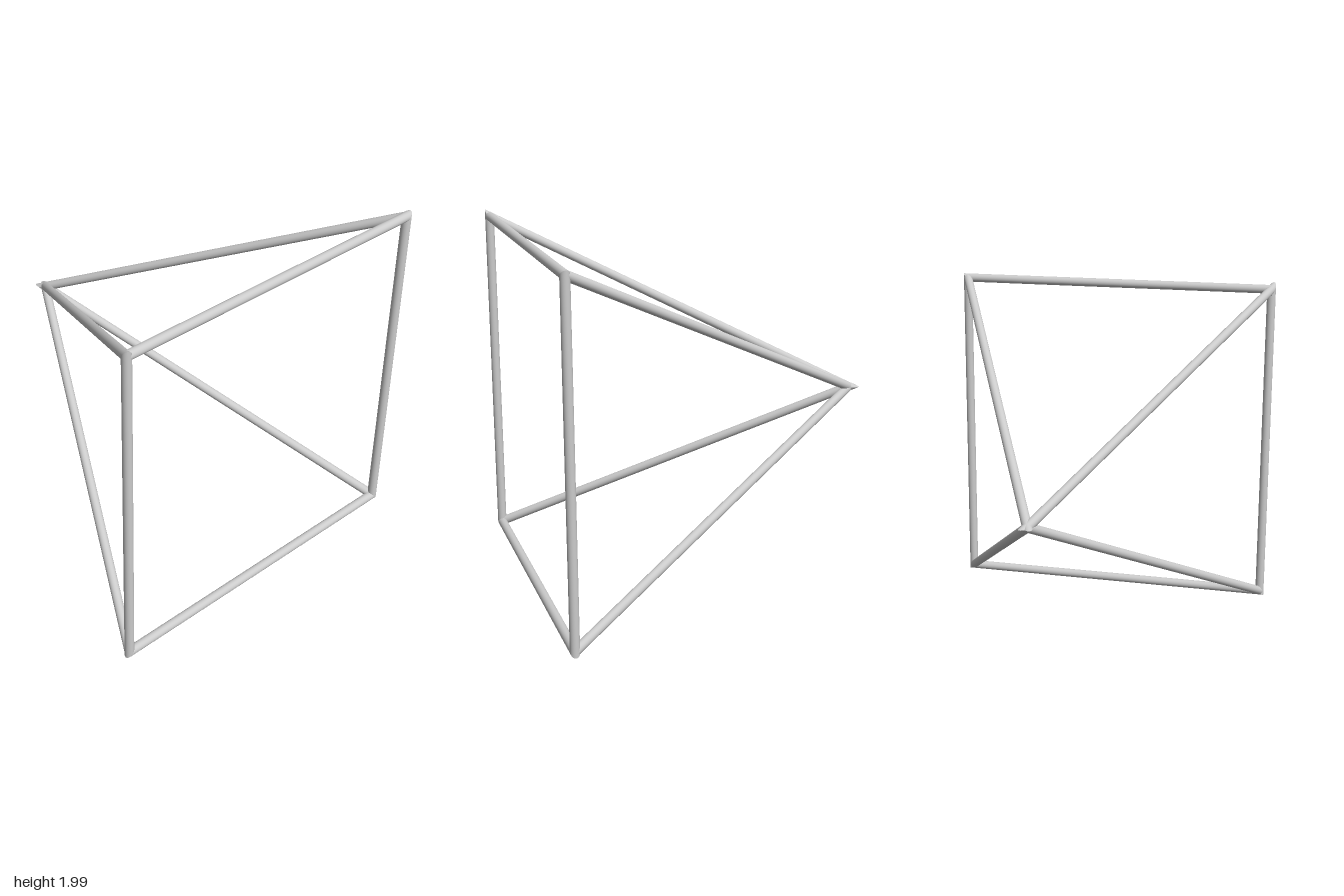
import * as THREE from 'three';

const R = 0.026, SIDES = 24;
const V = (x, y, z) => new THREE.Vector3(x, y, z);
const dir = (a, b) => b.clone().sub(a).normalize();

// Round bar from a to b; an end with a neighbouring point is mitred, otherwise cut square and capped
function barGeometry(a, b, before, after) {
  const d = dir(a, b);
  const u = V(0, 0, 1).cross(d);
  u.normalize();
  const w = d.clone().cross(u);
  const pos = [], nor = [], idx = [];
  const ends = [
    { p: a, n: before ? dir(before, a).add(d) : d, cap: !before, out: -1 },
    { p: b, n: after ? dir(b, after).add(d) : d, cap: !after, out: 1 },
  ];
  const rings = ends.map(({ p, n }) => {
    const ring = [];
    for (let i = 0; i <= SIDES; i++) {
      const t = (i / SIDES) * Math.PI * 2;
      const radial = u.clone().multiplyScalar(Math.cos(t)).addScaledVector(w, Math.sin(t));
      const along = (-R * radial.dot(n)) / d.dot(n);
      const q = p.clone().addScaledVector(radial, R).addScaledVector(d, along);
      ring.push(q);
      pos.push(...q.toArray());
      nor.push(...radial.toArray());
    }
    return ring;
  });
  for (let i = 0; i < SIDES; i++) {
    const j = i + SIDES + 1;
    idx.push(i, i + 1, j, i + 1, j + 1, j);
  }
  // flat end caps
  ends.forEach(({ p, cap, out }, e) => {
    if (!cap) return;
    const c = pos.length / 3;
    [p, ...rings[e]].forEach((q) => {
      pos.push(...q.toArray());
      nor.push(...d.clone().multiplyScalar(out).toArray());
    });
    for (let i = 1; i <= SIDES; i++) {
      if (out > 0) idx.push(c, c + i, c + i + 1);
      else idx.push(c, c + i + 1, c + i);
    }
  });
  const g = new THREE.BufferGeometry();
  g.setAttribute('position', new THREE.Float32BufferAttribute(pos, 3));
  g.setAttribute('normal', new THREE.Float32BufferAttribute(nor, 3));
  g.setIndex(idx);
  return g;
}

export function createModel() {
  const group = new THREE.Group();
  group.name = 'pyramidFrame';
  const material = new THREE.MeshStandardMaterial({ color: 0xcccccc });

  // Square base stands upright at the front, apex points to the back
  const X = 0.959, Y0 = 0.026, Y1 = 1.952, Z = 0.974;
  const apex = V(0, (Y0 + Y1) / 2, -0.943);
  const topR = V(-X, Y1, Z), lowR = V(-X, Y0, Z);
  const topL = V(X, Y1, Z), lowL = V(X, Y0, Z);

  // Bars run along two bent paths, mitred at every bend
  const addPath = (points, names) => names.forEach((name, i) => {
    const mesh = new THREE.Mesh(
      barGeometry(points[i], points[i + 1], points[i - 1], points[i + 2]), material);
    mesh.name = name;
    group.add(mesh);
  });
  addPath([lowR, apex, topR, lowR, lowL, topL, topR],
    ['lowerRightStrut', 'upperRightStrut', 'rightBar', 'bottomBar', 'leftBar', 'topBar']);
  addPath([lowL, apex, topL], ['lowerLeftStrut', 'upperLeftStrut']);
  return group;
}
